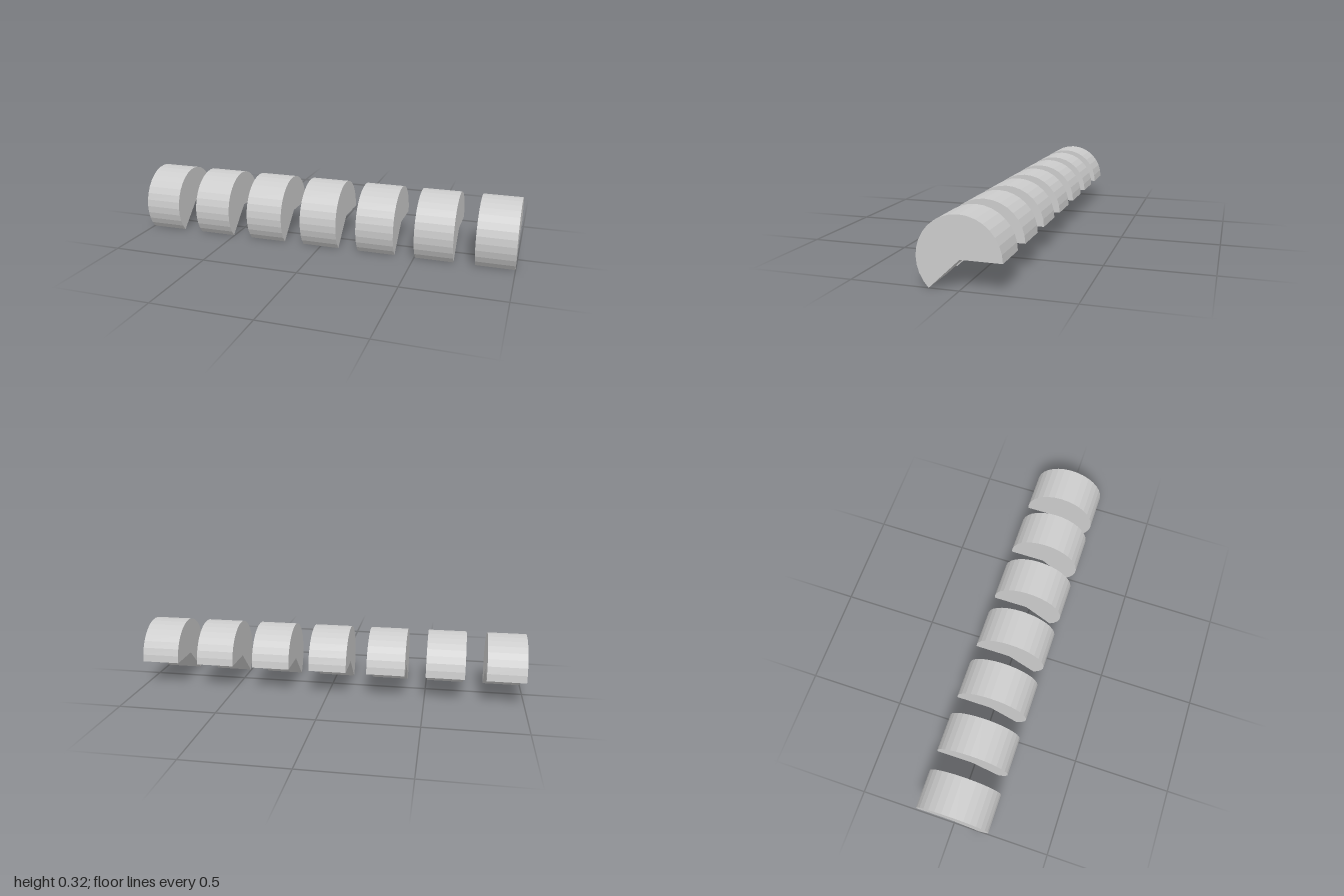
import * as THREE from 'three';

const COUNT = 7, WIDTH = 0.195, RADIUS = 0.19, AXIS_Y = 0.133;
const PITCH = (2 - WIDTH) / (COUNT - 1);

// Cross-section: a disc with a wedge cut from its lower back (shape x = -z)
function wedgeProfile() {
  const shape = new THREE.Shape();
  const steps = 20, sweep = THREE.MathUtils.degToRad(224.3);
  shape.moveTo(0.005, AXIS_Y + 0.001);
  for (let i = 0; i <= steps; i++) {
    const a = (i / steps) * sweep;
    shape.lineTo(RADIUS * Math.cos(a), AXIS_Y + RADIUS * Math.sin(a));
  }
  shape.closePath();
  return shape;
}

export function createModel() {
  const model = new THREE.Group();
  model.name = 'segmentedRoller';
  const material = new THREE.MeshStandardMaterial({ color: 0xcccccc, flatShading: true });

  // Extrude along z, then turn the length onto x
  const geometry = new THREE.ExtrudeGeometry(wedgeProfile(), { depth: WIDTH, bevelEnabled: false });
  geometry.translate(0, 0, -WIDTH / 2);
  geometry.rotateY(Math.PI / 2);

  // Evenly spaced row of identical segments
  for (let i = 0; i < COUNT; i++) {
    const segment = new THREE.Mesh(geometry, material);
    segment.name = `rollerSegment${i + 1}`;
    segment.position.x = (i - (COUNT - 1) / 2) * PITCH;
    model.add(segment);
  }
  return model;
}
